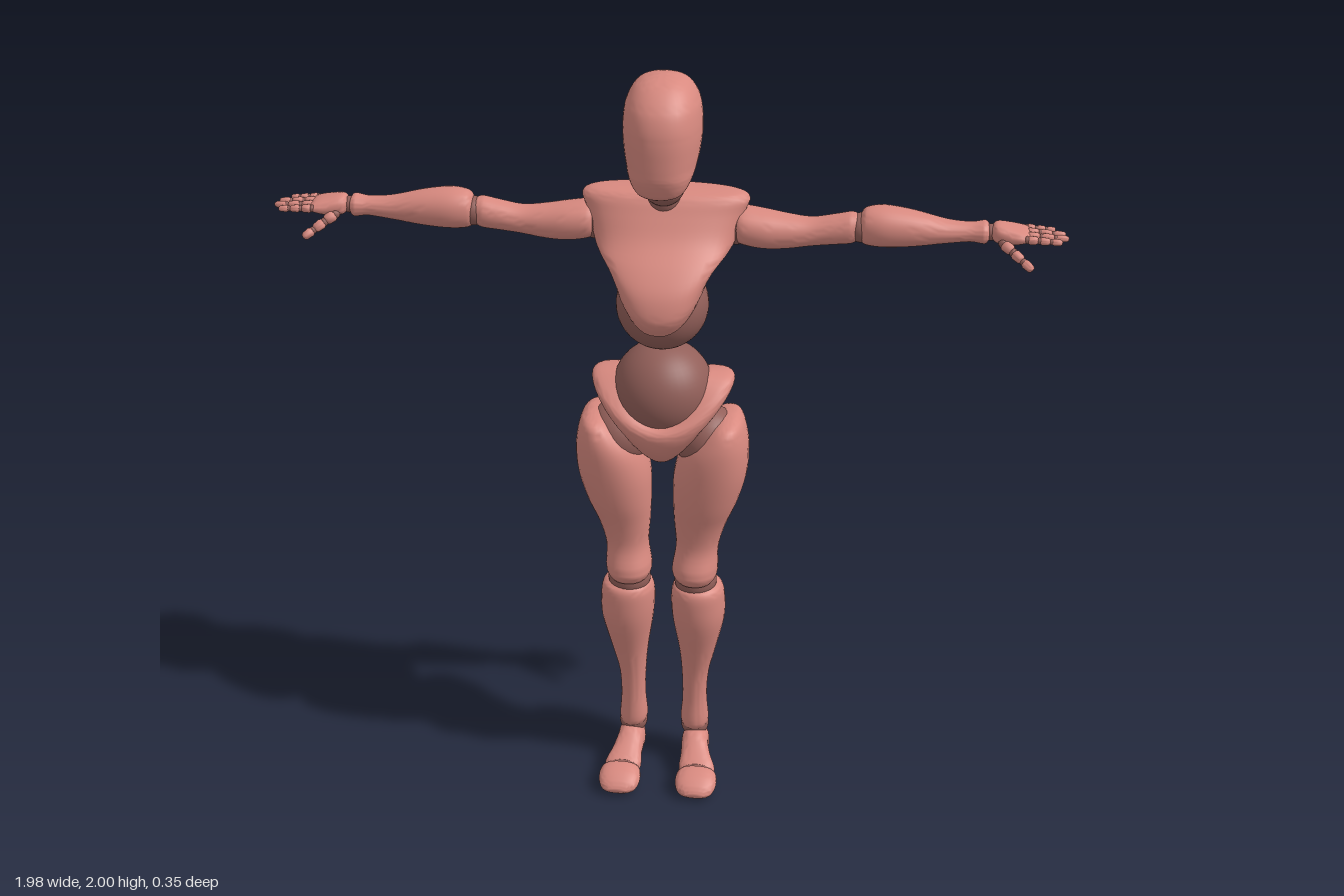
import * as THREE from 'three';
import { toCreasedNormals } from 'three/addons/utils/BufferGeometryUtils.js';

const shell = new THREE.MeshStandardMaterial({ color: 0xd98a80 });
shell.name = 'salmon shell';
const joint = new THREE.MeshStandardMaterial({ color: 0x925f59 });
joint.name = 'dark joint';

const clamp01 = (v) => Math.min(1, Math.max(0, v));

// Smooth interpolation through the rows of a section table
function smoothRows(rows, steps) {
  const out = [];
  const last = rows.length - 1;
  for (let i = 0; i < last; i++) {
    const [a, b, c, d] = [rows[Math.max(i - 1, 0)], rows[i], rows[i + 1], rows[Math.min(i + 2, last)]];
    for (let k = 0; k < steps; k++) {
      const t = k / steps;
      out.push(b.map((_, n) => b[n] + 0.5 * t * (c[n] - a[n]
        + t * (2 * a[n] - 5 * b[n] + 4 * c[n] - d[n] + t * (3 * (b[n] - c[n]) + d[n] - a[n])))));
    }
  }
  out.push(rows[last]);
  return out;
}

// Closed body from sections [t, uMin, uMax, vMin, vMax] along an axis.
// Axis y: u = x, v = z. Axis x: u = y, v = z. Axis z: u = x, v = y.
function loft(axis, rows, { power = 2, sides = 32, steps = 4, warp } = {}) {
  const rings = smoothRows(rows, steps);
  const pos = [];
  const idx = [];
  const put = (t, u, v, a) => {
    const p = axis === 'y' ? [u, t, v] : axis === 'x' ? [t, u, v] : [u, v, t];
    if (warp) p[1] = warp(p[1], a);
    pos.push(...p);
  };
  const bend = (c) => Math.sign(c) * Math.abs(c) ** (2 / power);
  for (const [t, u0, u1, v0, v1] of rings) {
    for (let j = 0; j < sides; j++) {
      const a = (j / sides) * Math.PI * 2;
      put(t, (u0 + u1) / 2 + (u1 - u0) / 2 * bend(Math.cos(a)), (v0 + v1) / 2 + (v1 - v0) / 2 * bend(Math.sin(a)), a);
    }
  }
  const ends = [rings[0], rings[rings.length - 1]];
  for (const [t, u0, u1, v0, v1] of ends) put(t, (u0 + u1) / 2, (v0 + v1) / 2, Math.PI / 4);
  const flip = (axis === 'y') !== (ends[1][0] < ends[0][0]);
  const tri = (a, b, c) => (flip ? idx.push(a, c, b) : idx.push(a, b, c));
  const top = (rings.length - 1) * sides;
  for (let j = 0; j < sides; j++) {
    const k = (j + 1) % sides;
    for (let i = 0; i < top; i += sides) {
      tri(i + j, i + k, i + sides + k);
      tri(i + j, i + sides + k, i + sides + j);
    }
    tri(top + sides, k, j);
    tri(top + sides + 1, top + j, top + k);
  }
  const geo = new THREE.BufferGeometry();
  geo.setAttribute('position', new THREE.Float32BufferAttribute(pos, 3));
  geo.setIndex(idx);
  geo.computeVertexNormals();
  return geo;
}

const ball = (x, y, z, r, n = 28) => new THREE.SphereGeometry(r, n, Math.round(n * 0.7)).translate(x, y, z);

function add(group, name, geo, mat) {
  const smooth = geo.type === 'SphereGeometry' ? geo : toCreasedNormals(geo, 0.9);
  const mesh = new THREE.Mesh(smooth, mat);
  mesh.name = name;
  group.add(mesh);
}

// Adds a part on the left (+x) and its mirror on the right
function addPair(group, name, geo, mat) {
  const other = geo.clone().scale(-1, 1, 1);
  other.index.array.reverse();
  if (geo.type !== 'SphereGeometry') other.computeVertexNormals();
  add(group, 'left ' + name, geo, mat);
  add(group, 'right ' + name, other, mat);
}

// Tapered rounded finger segment between two points
function segment(a, b, r0, r1) {
  const dir = b.clone().sub(a);
  const len = dir.length();
  const profile = [[0, 0], [r0 * 0.75, 0.06], [r0, 0.25], [r1, 0.8], [r1 * 0.7, 0.95], [0, 1]]
    .map(([r, t]) => new THREE.Vector2(r, t * len));
  const geo = new THREE.LatheGeometry(profile, 12);
  geo.applyQuaternion(new THREE.Quaternion().setFromUnitVectors(new THREE.Vector3(0, 1, 0), dir.normalize()));
  return geo.translate(a.x, a.y, a.z);
}

function addFinger(group, name, start, end, count, r) {
  for (let i = 0; i < count; i++) {
    const a = start.clone().lerp(end, i / count);
    const b = start.clone().lerp(end, (i + 0.92) / count);
    addPair(group, `${name} segment ${i + 1}`, segment(a, b, r * (1 - 0.1 * i), r * (0.9 - 0.1 * i)), shell);
    addPair(group, `${name} knuckle ${i + 1}`, ball(a.x, a.y, a.z, r * (0.85 - 0.1 * i), 10), joint);
  }
}

export function createModel() {
  const model = new THREE.Group();
  model.name = 'jointed mannequin';

  // Head and neck
  add(model, 'head', loft('y', [
    [1.715, -0.02, 0.02, 0.045, 0.085], [1.725, -0.05, 0.05, 0.03, 0.1], [1.745, -0.068, 0.068, -0.005, 0.11],
    [1.77, -0.08, 0.08, -0.06, 0.119], [1.79, -0.086, 0.086, -0.11, 0.121], [1.82, -0.092, 0.092, -0.138, 0.122],
    [1.86, -0.096, 0.096, -0.15, 0.122], [1.9, -0.095, 0.095, -0.148, 0.117], [1.94, -0.088, 0.088, -0.132, 0.1],
    [1.975, -0.068, 0.068, -0.1, 0.065], [1.993, -0.04, 0.04, -0.06, 0.03], [2.0, -0.004, 0.004, -0.02, -0.01],
  ], { power: 2.3, sides: 40 }), shell);
  add(model, 'neck', ball(0, 1.71, -0.03, 0.053), joint);
  add(model, 'neck base', ball(0, 1.665, -0.055, 0.048), joint);

  // Chest shell, with its lower edge arched at the sides
  add(model, 'chest', loft('y', [
    [1.37, -0.105, 0.105, -0.13, 0.12], [1.4, -0.112, 0.112, -0.142, 0.142], [1.43, -0.118, 0.118, -0.148, 0.146],
    [1.48, -0.136, 0.136, -0.16, 0.13], [1.53, -0.163, 0.163, -0.166, 0.09], [1.58, -0.182, 0.182, -0.168, 0.035],
    [1.63, -0.198, 0.198, -0.163, 0.0], [1.662, -0.208, 0.208, -0.15, -0.02], [1.677, -0.185, 0.185, -0.135, -0.035],
    [1.682, -0.13, 0.13, -0.11, -0.06],
  ], {
    power: 2.3, sides: 48,
    warp: (y, a) => y + 0.09 * Math.cos(a) ** 2 * clamp01((1.56 - y) / 0.19),
  }), shell);
  add(model, 'belly', ball(0, 1.405, 0, 0.116, 40), joint);

  // Waist ball and pelvis shell, cut low in front and high at the legs
  add(model, 'waist', ball(0, 1.163, -0.01, 0.128, 40), joint);
  add(model, 'pelvis', loft('y', [
    [0, -0.015, 0.015, -0.05, 0.01], [0.12, -0.07, 0.07, -0.115, 0.05], [0.35, -0.13, 0.13, -0.162, 0.09],
    [0.6, -0.17, 0.17, -0.178, 0.115], [0.83, -0.182, 0.182, -0.172, 0.125], [0.95, -0.168, 0.168, -0.155, 0.118],
    [1, -0.115, 0.115, -0.12, 0.1],
  ], {
    sides: 48,
    warp: (t, a) => {
      const side = Math.cos(a) ** 2;
      const high = 1.215 - (Math.sin(a) > 0 ? 0.11 : 0.05) * (1 - side);
      const low = 0.96 + 0.12 * side * clamp01(t * 2);
      return low + (high - low) * t;
    },
  }), shell);

  // Legs
  addPair(model, 'hip', ball(0.115, 1.03, -0.005, 0.086), joint);
  addPair(model, 'thigh', loft('y', [
    [0.61, 0.04, 0.135, -0.05, 0.06], [0.625, 0.03, 0.144, -0.06, 0.072], [0.65, 0.027, 0.148, -0.064, 0.075],
    [0.71, 0.036, 0.148, -0.064, 0.056], [0.78, 0.031, 0.167, -0.073, 0.065], [0.85, 0.028, 0.195, -0.086, 0.085],
    [0.93, 0.03, 0.218, -0.107, 0.1], [1.0, 0.05, 0.223, -0.117, 0.106], [1.05, 0.09, 0.217, -0.112, 0.1],
    [1.085, 0.13, 0.206, -0.09, 0.08], [1.1, 0.155, 0.19, -0.03, 0.025],
  ], { power: 2.15 }), shell);
  addPair(model, 'knee', ball(0.088, 0.6, -0.003, 0.056), joint);
  addPair(model, 'shin', loft('y', [
    [0.105, 0.055, 0.115, -0.088, -0.012], [0.125, 0.046, 0.122, -0.096, -0.004], [0.2, 0.051, 0.117, -0.086, -0.005],
    [0.28, 0.049, 0.122, -0.095, 0.003], [0.36, 0.042, 0.14, -0.107, 0.022], [0.47, 0.026, 0.164, -0.11, 0.056],
    [0.54, 0.022, 0.165, -0.1, 0.064], [0.58, 0.028, 0.158, -0.078, 0.06], [0.593, 0.045, 0.14, -0.055, 0.04],
  ], { power: 2.15 }), shell);
  addPair(model, 'ankle', ball(0.085, 0.105, -0.048, 0.038), joint);
  addPair(model, 'foot', loft('z', [
    [-0.098, 0.075, 0.095, 0.02, 0.04], [-0.085, 0.06, 0.115, 0.005, 0.075], [-0.05, 0.052, 0.125, 0.0, 0.097],
    [-0.01, 0.052, 0.125, 0.012, 0.103], [0.03, 0.054, 0.135, 0.014, 0.08], [0.065, 0.052, 0.15, 0.004, 0.06],
    [0.082, 0.06, 0.145, 0.01, 0.05],
  ], { power: 2.4 }), shell);
  addPair(model, 'toe joint', loft('z', [
    [0.06, 0.065, 0.14, 0.012, 0.045], [0.082, 0.056, 0.148, 0.005, 0.054], [0.105, 0.065, 0.14, 0.012, 0.045],
  ]), joint);
  addPair(model, 'toes', loft('z', [
    [0.086, 0.06, 0.147, 0.008, 0.05], [0.096, 0.051, 0.157, 0.001, 0.06], [0.13, 0.048, 0.16, 0.0, 0.056],
    [0.16, 0.058, 0.15, 0.002, 0.042], [0.175, 0.08, 0.132, 0.012, 0.027],
  ], { power: 2.4 }), shell);

  // Arms
  addPair(model, 'shoulder', ball(0.175, 1.59, -0.082, 0.05), joint);
  addPair(model, 'upper arm', loft('x', [
    [0.17, 1.56, 1.62, -0.11, -0.05], [0.185, 1.545, 1.637, -0.138, -0.028], [0.24, 1.535, 1.632, -0.138, -0.025],
    [0.3, 1.536, 1.622, -0.13, -0.034], [0.36, 1.545, 1.616, -0.122, -0.042], [0.42, 1.553, 1.628, -0.118, -0.04],
    [0.46, 1.558, 1.637, -0.115, -0.04], [0.478, 1.568, 1.63, -0.105, -0.05],
  ], { power: 2.15 }), shell);
  addPair(model, 'elbow', ball(0.482, 1.598, -0.078, 0.037), joint);
  addPair(model, 'forearm', loft('x', [
    [0.482, 1.568, 1.635, -0.11, -0.045], [0.495, 1.556, 1.65, -0.122, -0.036], [0.54, 1.552, 1.655, -0.135, -0.028],
    [0.61, 1.556, 1.645, -0.13, -0.035], [0.69, 1.566, 1.625, -0.12, -0.05], [0.75, 1.572, 1.62, -0.115, -0.058],
    [0.785, 1.568, 1.625, -0.12, -0.055], [0.795, 1.578, 1.615, -0.11, -0.065],
  ], { power: 2.15 }), shell);
  addPair(model, 'wrist', ball(0.799, 1.597, -0.086, 0.021), joint);

  // Hands
  addPair(model, 'palm', loft('x', [
    [0.802, 1.585, 1.615, -0.105, -0.065], [0.815, 1.574, 1.624, -0.118, -0.053], [0.85, 1.572, 1.618, -0.13, -0.045],
    [0.88, 1.58, 1.61, -0.132, -0.042], [0.893, 1.587, 1.603, -0.127, -0.046],
  ], { power: 2.5, sides: 24 }), shell);
  [['index finger', -0.05, 0.975], ['middle finger', -0.075, 0.992], ['ring finger', -0.1, 0.985], ['little finger', -0.124, 0.96]]
    .forEach(([name, z, tip]) => {
      addFinger(model, name, new THREE.Vector3(0.887, 1.596, z), new THREE.Vector3(tip, 1.592, z), 3, 0.011);
    });
  addFinger(model, 'thumb', new THREE.Vector3(0.83, 1.582, -0.055), new THREE.Vector3(0.905, 1.535, -0.002), 3, 0.015);

  return model;
}
